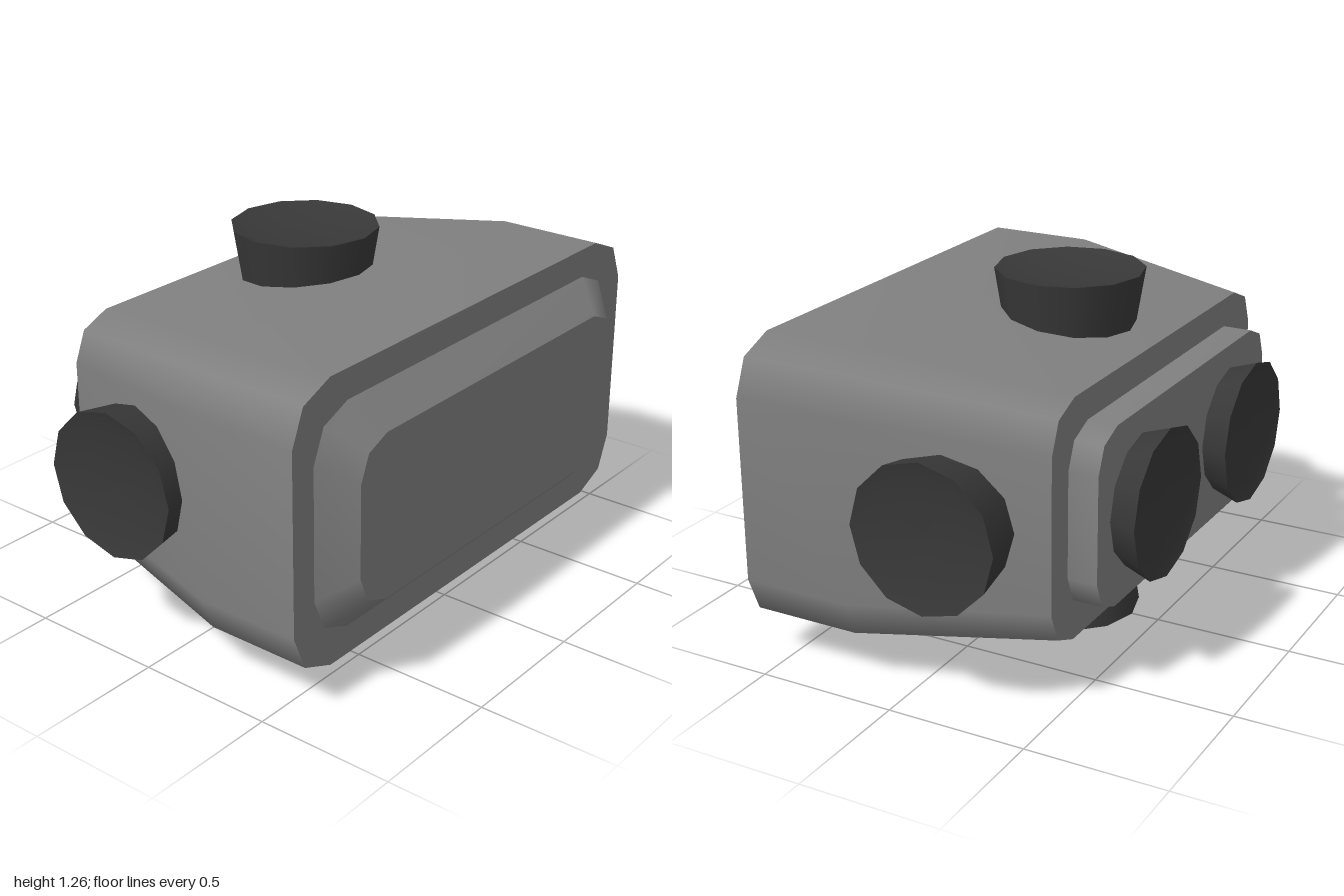
import * as THREE from 'three';

const CENTRE_Y = 0.635;
const shell = new THREE.MeshStandardMaterial({ color: 0x808080 });
shell.name = 'mid grey shell';
const dark = new THREE.MeshStandardMaterial({ color: 0x383838 });
dark.name = 'dark grey lens';

// Rectangle with two-facet corners, counter-clockwise seen from +z
function outline(w, h, r) {
  const points = [];
  const corners = [[1, 1], [-1, 1], [-1, -1], [1, -1]];
  corners.forEach(([sx, sy], c) => {
    for (let k = 0; k < 3; k++) {
      const a = (c + k / 2) * Math.PI / 2;
      points.push(new THREE.Vector2(sx * (w - r) + r * Math.cos(a), sy * (h - r) + r * Math.sin(a)));
    }
  });
  return points;
}

// Smooth walls through sections [z, halfWidth, halfHeight, radius] from back to front, with flat caps
function loft(name, sections, backCap, frontCap) {
  const group = new THREE.Group();
  group.name = name;
  const positions = [], index = [];
  const rings = sections.map(([, w, h, r]) => outline(w, h, r));
  const n = rings[0].length;
  rings.forEach((ring, j) => ring.forEach(p => positions.push(p.x, p.y, sections[j][0])));
  for (let j = 0; j < rings.length - 1; j++) {
    for (let i = 0; i < n; i++) {
      const a = j * n + i, b = j * n + (i + 1) % n;
      index.push(a, b, b + n, a, b + n, a + n);
    }
  }
  const wall = new THREE.BufferGeometry();
  wall.setAttribute('position', new THREE.Float32BufferAttribute(positions, 3));
  wall.setIndex(index);
  wall.computeVertexNormals();
  const addMesh = (geometry, part) => {
    const mesh = new THREE.Mesh(geometry, shell);
    mesh.name = part;
    group.add(mesh);
  };
  addMesh(wall, name + 'Wall');
  const cap = ring => new THREE.ShapeGeometry(new THREE.Shape(ring));
  const last = rings.length - 1;
  if (backCap) addMesh(cap(rings[0]).rotateY(Math.PI).translate(0, 0, sections[0][0]), name + 'Back');
  if (frontCap) addMesh(cap(rings[last]).translate(0, 0, sections[last][0]), name + 'Front');
  group.position.y = CENTRE_Y;
  return group;
}

// Flared twelve-sided lens pointing along +y, rim at the origin, with a shallow dished face
function lens(name, length, baseRadius) {
  const group = new THREE.Group();
  group.name = name;
  const rim = 0.262;
  const profiles = {
    Barrel: [[baseRadius, -length], [rim, 0]],
    Dish: [[rim, 0], [0.21, -0.014], [0.11, -0.026], [0, -0.03]],
  };
  for (const [part, profile] of Object.entries(profiles)) {
    const points = profile.map(([x, y]) => new THREE.Vector2(x, y));
    const mesh = new THREE.Mesh(new THREE.LatheGeometry(points, 12), dark);
    mesh.name = name + part;
    group.add(mesh);
  }
  return group;
}

export function createModel() {
  const model = new THREE.Group();
  model.name = 'cameraHousing';

  // Main body, tapering towards the back
  model.add(loft('body', [
    [-0.485, 0.79, 0.42, 0.15],
    [0.2, 0.945, 0.505, 0.18],
    [0.59, 0.945, 0.505, 0.18],
  ], true, true));

  // Bevelled front panel and raised back plate
  model.add(loft('frontPanel', [[0.59, 0.845, 0.4, 0.165], [0.69, 0.74, 0.295, 0.13]], false, true));
  model.add(loft('backPlate', [[-0.59, 0.68, 0.315, 0.13], [-0.485, 0.68, 0.315, 0.13]], true, false));

  const place = (part, x, y, z, rx, rz) => {
    part.position.set(x, y, z);
    part.rotation.set(rx, 0, rz);
    model.add(part);
  };

  // Lenses on top, bottom and both sides
  place(lens('topLens', 0.25, 0.222), 0, 1.265, -0.135, 0, 0);
  place(lens('bottomLens', 0.25, 0.222), 0, 0, -0.135, Math.PI, 0);
  place(lens('leftLens', 0.25, 0.222), 1, CENTRE_Y, -0.135, 0, -Math.PI / 2);
  place(lens('rightLens', 0.25, 0.222), -1, CENTRE_Y, -0.135, 0, Math.PI / 2);

  // Pair of lenses on the back plate
  for (const [side, s] of [['Left', 1], ['Right', -1]]) {
    place(lens('back' + side + 'Lens', 0.1, 0.228), s * 0.365, CENTRE_Y, -0.69, -Math.PI / 2, 0);
  }
  return model;
}
